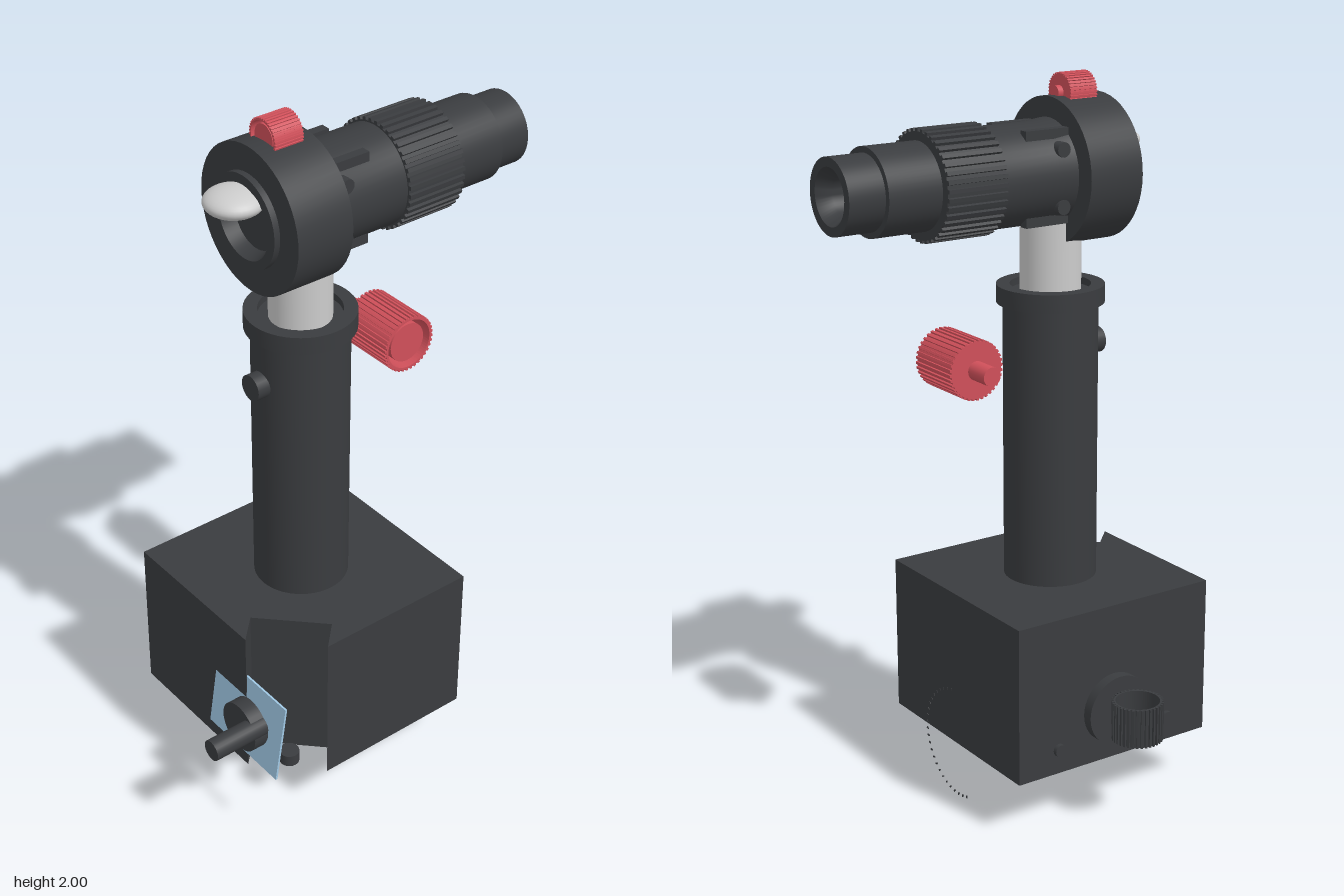
import * as THREE from 'three';
import { toCreasedNormals } from 'three/addons/utils/BufferGeometryUtils.js';

const mat = (color) => new THREE.MeshStandardMaterial({ color });
const dark = mat(0x3a3c3f), red = mat(0xd0505a), blue = mat(0xa0c8e4), grey = mat(0xcccccc);
const CX = 0.083, CZ = 0.088, SY = 1.745; // column axis and scope axis height

function add(parent, name, geometry, material, x = 0, y = 0, z = 0) {
  const mesh = new THREE.Mesh(geometry, material);
  mesh.name = name;
  mesh.position.set(x, y, z);
  parent.add(mesh);
  return mesh;
}

// Cylinder along a chosen axis
function rod(r, length, axis = 'y', sides = 40) {
  const g = new THREE.CylinderGeometry(r, r, length, sides);
  if (axis === 'x') g.rotateZ(Math.PI / 2);
  if (axis === 'z') g.rotateX(Math.PI / 2);
  return g;
}

// Turned profile of [radius, height], creased at sharp steps
function turned(points) {
  const g = new THREE.LatheGeometry(points.map(([r, h]) => new THREE.Vector2(r, h)), 48);
  return toCreasedNormals(g, 0.6);
}

// Ribbed ring centred on the z axis
function ribbedRing(outer, depth, hole, length, teeth) {
  const shape = new THREE.Shape();
  for (let i = 0; i < teeth; i++) {
    [[0, outer - depth], [0.45, outer - depth], [0.5, outer], [0.95, outer]].forEach(([t, r], k) => {
      const a = ((i + t) / teeth) * Math.PI * 2;
      const p = [Math.cos(a) * r, Math.sin(a) * r];
      if (i + k === 0) shape.moveTo(...p);
      else shape.lineTo(...p);
    });
  }
  shape.closePath();
  const cut = new THREE.Path();
  cut.absarc(0, 0, hole, 0, Math.PI * 2, true);
  shape.holes.push(cut);
  const g = new THREE.ExtrudeGeometry(shape, { depth: length, bevelEnabled: false, curveSegments: 32 });
  return g.translate(0, 0, -length / 2);
}

// Hollow ribbed knob with a core and a stem, open towards +z
function redKnob(name, r, length, stemR, stemLength) {
  const g = new THREE.Group();
  g.name = name;
  add(g, 'knobGrip', ribbedRing(r, r * 0.06, r * 0.86, length, 36), red);
  add(g, 'knobCore', rod(r * 0.68, length * 0.9, 'z'), red);
  add(g, 'knobBack', new THREE.CircleGeometry(r * 0.9, 36), red, 0, 0, -length / 2).rotation.y = Math.PI;
  add(g, 'knobStem', rod(stemR, stemLength, 'z', 24), red, 0, 0, -(length + stemLength) / 2);
  return g;
}

function createBase() {
  const g = new THREE.Group();
  g.name = 'base';
  // Block with a diagonal notch through its front left corner; shape y becomes -z
  const outline = [[-0.23, -0.23], [-0.23, 0.4], [0.245, 0.4], [0.18, 0.335],
    [0.335, 0.18], [0.4, 0.245], [0.4, -0.23]];
  const shape = new THREE.Shape(outline.map(([x, z]) => new THREE.Vector2(x, -z)));
  const block = new THREE.ExtrudeGeometry(shape, { depth: 0.45, bevelEnabled: false }).rotateX(-Math.PI / 2);
  add(g, 'baseBlock', block, dark, 0, 0.16, 0);

  // Feet under the corners, the front left one standing free in the notch
  for (const x of [-0.13, 0.295]) for (const z of [-0.13, 0.295])
    add(g, 'foot', rod(0.028, 0.035, 'y', 20), dark, x, 0.172, z);

  // Side wheel with its backing disc and screws
  add(g, 'wheelDisc', rod(0.1, 0.03, 'x'), dark, -0.245, 0.31, 0.083);
  const wheel = add(g, 'sideWheel', ribbedRing(0.071, 0.006, 0.06, 0.11, 36), dark, -0.338, 0.315, 0.083);
  wheel.rotation.x = Math.PI / 2;
  for (const z of [-0.1, 0.265]) add(g, 'sideScrew', rod(0.018, 0.012, 'x', 16), dark, -0.236, 0.23, z);

  // Tilted front plate with the crank
  const plate = add(g, 'frontPlate', new THREE.BoxGeometry(0.3, 0.233, 0.006), blue, 0.255, 0.355, 0.405);
  plate.rotation.x = -0.15;
  add(g, 'crankHub', rod(0.072, 0.042, 'z'), dark, 0.28, 0.355, 0.431);
  add(g, 'crankHandle', rod(0.03, 0.165, 'z', 24), dark, 0.325, 0.375, 0.493);

  // Half circle of fine scale marks behind the base
  for (let i = 0; i <= 24; i++) {
    const a = -Math.PI * 0.6 + (i / 24) * Math.PI * 1.05;
    const tick = add(g, 'scaleMark', new THREE.BoxGeometry(0.008, 0.004, 0.003), dark,
      CX + Math.cos(a) * 0.156, 0.16 + Math.sin(a) * 0.156, -0.23);
    tick.rotation.z = a + 0.5;
  }
  return g;
}

function createColumn() {
  const g = new THREE.Group();
  g.name = 'column';
  add(g, 'columnTube', turned([[0, 0.6], [0.13, 0.6], [0.13, 1.39], [0.147, 1.39],
    [0.147, 1.44], [0.11, 1.44], [0.11, 1.42], [0, 1.42]]), dark, CX, 0, CZ);
  add(g, 'innerRod', rod(0.083, 0.3), grey, CX, 1.56, CZ);
  add(g, 'columnButton', rod(0.036, 0.06, 'z', 24), dark, CX, 1.26, 0.22);
  // Large side knob behind the column
  const knob = redKnob('clampKnob', 0.082, 0.17, 0.026, 0.075);
  knob.position.set(0.085, 1.26, -0.205);
  knob.rotation.y = Math.PI / 2;
  g.add(knob);
  return g;
}

function createHead() {
  const g = new THREE.Group();
  g.name = 'head';
  g.position.set(CX, SY, 0);

  // Round housing with a recessed front opening
  const housing = turned([[0, -0.08], [0.196, -0.08], [0.196, 0.245], [0.125, 0.245], [0.125, 0.262],
    [0.1, 0.262], [0.085, 0.225], [0, 0.225]].map(([r, h]) => [r, h < 0 ? 0.08 : h])).rotateX(Math.PI / 2);
  add(g, 'headHousing', housing, dark);
  const lens = add(g, 'lens', new THREE.SphereGeometry(1, 32, 20), grey, 0, 0.065, 0.288);
  lens.scale.set(0.077, 0.034, 0.077);

  // Knob half sunk in the top of the housing
  const knob = redKnob('topKnob', 0.052, 0.085, 0.018, 0.016);
  knob.position.set(0, 0.203, 0.159);
  g.add(knob);

  // Scope body stepping down to a hollow eyepiece
  const scope = turned([[0, -0.09], [0.142, -0.09], [0.135, -0.025], [0.135, 0.145], [0.116, 0.145],
    [0.116, 0.475], [0.1, 0.475], [0.1, 0.578], [0.075, 0.578], [0.052, 0.54], [0.052, 0.45], [0, 0.45]]);
  add(g, 'scopeTube', scope.rotateX(-Math.PI / 2), dark);
  add(g, 'focusRing', ribbedRing(0.147, 0.008, 0.11, 0.178, 40), dark, 0, 0, -0.231);

  // Mounting arms and side screws between housing and scope
  for (const sx of [-1, 1]) for (const sy of [-1, 1]) {
    add(g, 'mountArm', new THREE.BoxGeometry(0.026, 0.026, 0.135), dark, sx * 0.079, sy * 0.113, 0.015);
    add(g, 'mountScrew', rod(0.02, 0.04, 'x', 16), dark, sx * 0.108, sy * 0.075, 0.042);
  }
  return g;
}

export function createModel() {
  const model = new THREE.Group();
  model.name = 'pedestalScope';
  model.add(createBase(), createColumn(), createHead());
  return model;
}
